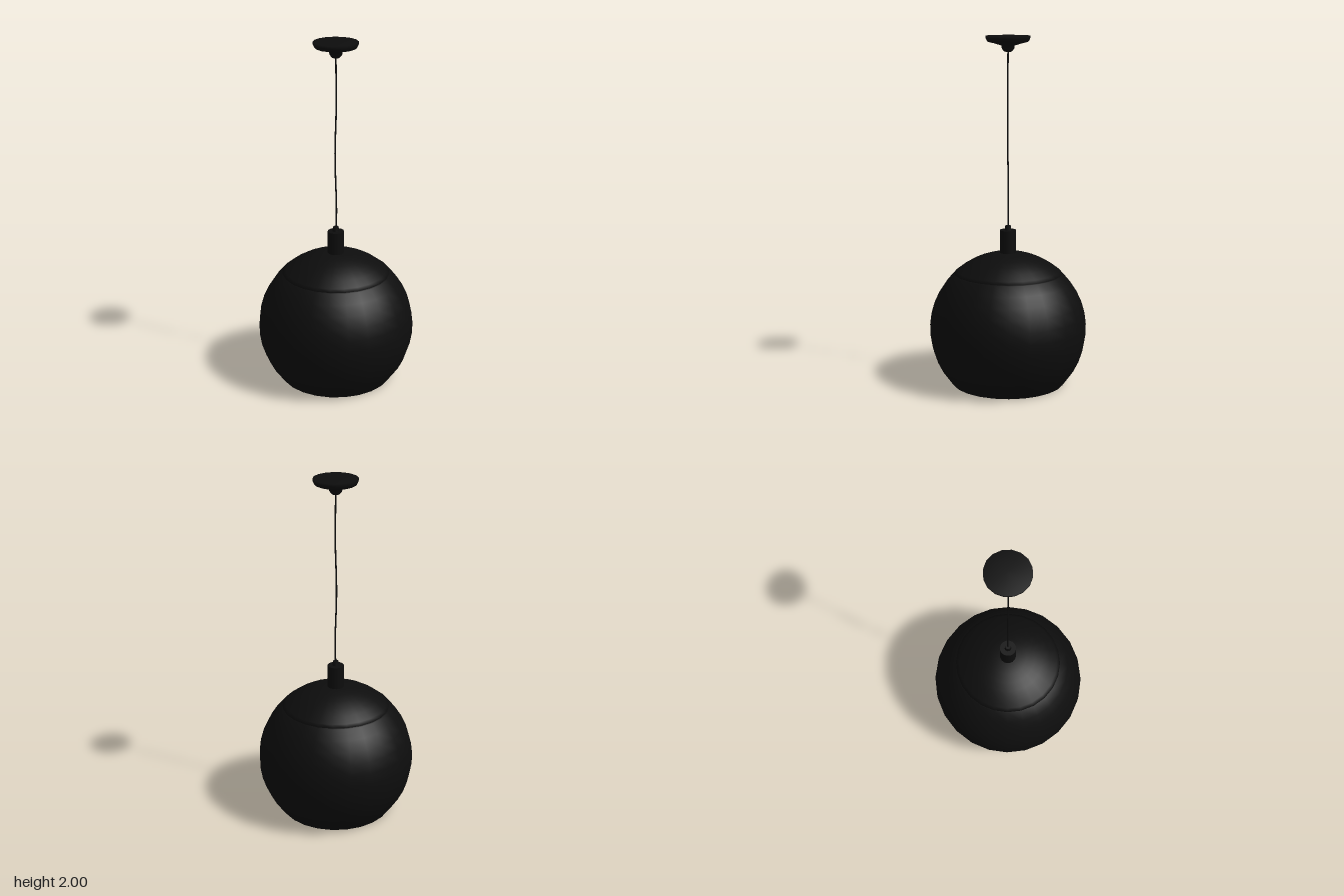
import * as THREE from 'three';

export function createModel() {
  const lamp = new THREE.Group();
  lamp.name = 'pendantLamp';
  const black = new THREE.MeshStandardMaterial({ color: 0x0d0d0d, side: THREE.DoubleSide });
  black.name = 'black';

  const add = (name, geometry) => {
    const mesh = new THREE.Mesh(geometry, black);
    mesh.name = name;
    lamp.add(mesh);
  };
  // Profiles run from bottom to top as [radius, height]
  const lathe = (name, points, sides) =>
    add(name, new THREE.LatheGeometry(points.map(([r, y]) => new THREE.Vector2(r, y)), sides));

  // Points on the globe's outline between two heights
  const R = 0.452, CENTRE = 0.32;
  const arc = (y0, y1, steps) => {
    const a0 = Math.asin((y0 - CENTRE) / R), a1 = Math.asin((y1 - CENTRE) / R);
    return Array.from({ length: steps + 1 }, (_, i) => {
      const a = a0 + (a1 - a0) * i / steps;
      return [R * Math.cos(a), CENTRE + R * Math.sin(a)];
    });
  };

  // Open globe, with a shallow seam below its domed cap
  lathe('shade', [[0.325, 0], ...arc(0.03, 0.645, 10), [0.295, 0.647]], 24);
  lathe('shadeCap', [[0.295, 0.647], [0.311, 0.65], ...arc(0.665, 0.768, 5), [0, 0.771]], 24);

  // Lamp holder and cord grip
  const holder = new THREE.CylinderGeometry(0.047, 0.047, 0.14, 16);
  add('lampHolder', holder.translate(0, 0.83, 0));
  const grip = new THREE.CylinderGeometry(0.016, 0.02, 0.03, 10);
  add('cordGrip', grip.translate(0, 0.912, 0));

  // Slightly wavering cord
  const path = new THREE.CatmullRomCurve3([
    [0, 0.91, 0], [0.003, 1.02, -0.003], [-0.004, 1.35, 0.002],
    [0.003, 1.65, 0.001], [0, 1.92, 0],
  ].map((p) => new THREE.Vector3(...p)));
  add('cord', new THREE.TubeGeometry(path, 20, 0.0045, 6));

  // Ceiling rose
  lathe('ceilingRose', [[0.11, 1.965], [0.118, 1.97], [0.125, 1.985], [0.125, 2], [0, 2]], 16);
  lathe('roseUnderside', [[0, 1.908], [0.022, 1.912], [0.035, 1.928], [0.037, 1.945],
    [0.08, 1.958], [0.11, 1.965]], 16);

  return lamp;
}
